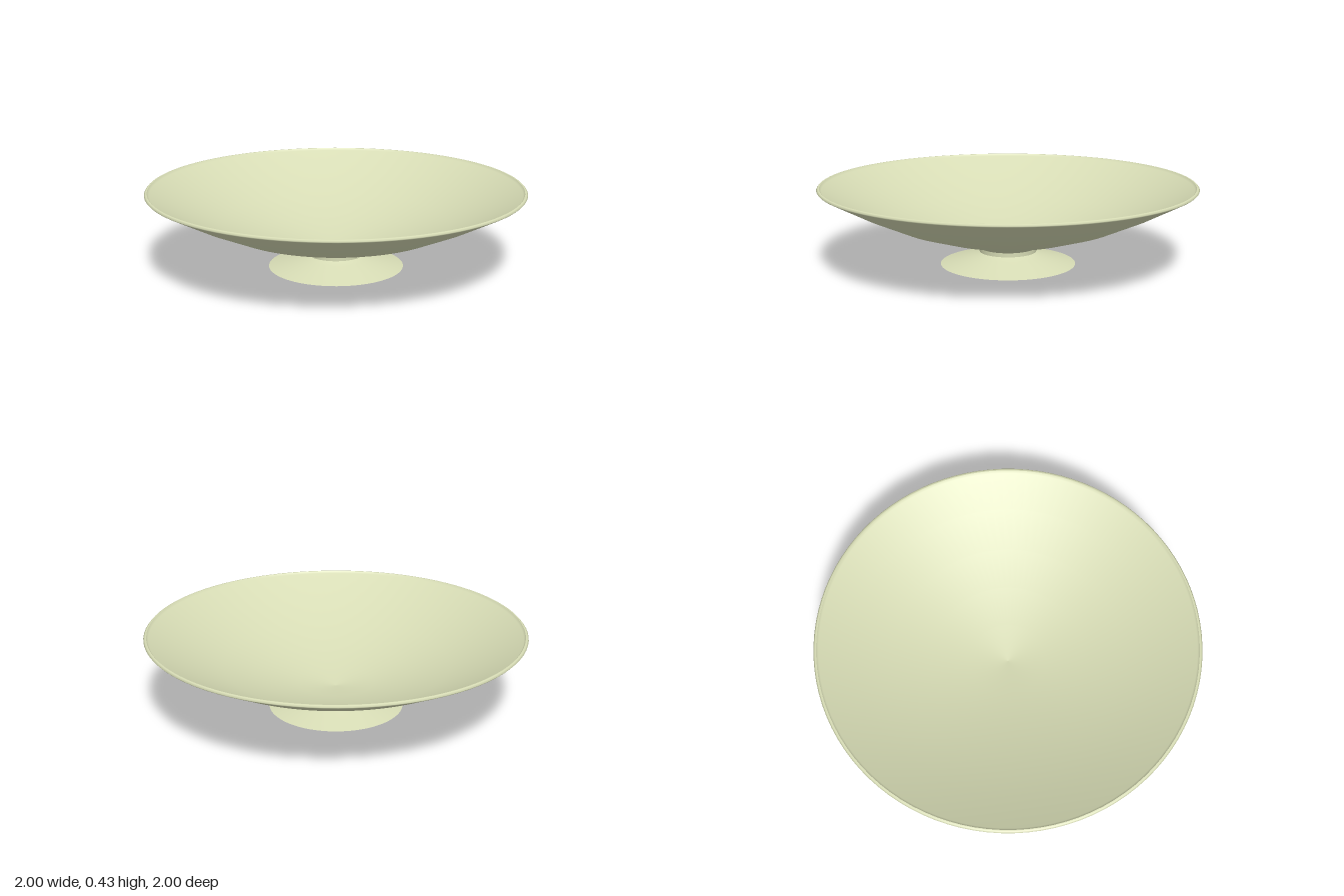
import * as THREE from 'three';

const SEGMENTS = 96;

export function createModel() {
  const dish = new THREE.Group();
  dish.name = 'footedDish';
  const glaze = new THREE.MeshStandardMaterial({ color: 0xd6dbb4, side: THREE.DoubleSide });

  // Each turned section is its own lathe, so edges between sections stay sharp
  const turn = (name, profile) => {
    const points = profile.map(([r, y]) => new THREE.Vector2(r, y));
    const mesh = new THREE.Mesh(new THREE.LatheGeometry(points, SEGMENTS), glaze);
    mesh.name = name;
    dish.add(mesh);
  };

  // Flared hollow foot and short neck
  turn('foot', [[0.36, 0], [0.185, 0.05], [0.152, 0.066]]);
  turn('neck', [[0.152, 0.066], [0.152, 0.088]]);

  // Closed underside of the bowl inside the neck
  turn('bowlBase', [[0, 0.088], [0.152, 0.088]]);

  // Shallow flared bowl: outside, rounded lip, inside
  turn('bowlOutside', [
    [0.152, 0.088], [0.2, 0.11], [0.4, 0.163], [0.6, 0.227], [0.8, 0.317], [0.995, 0.419],
  ]);
  turn('rim', [[0.995, 0.419], [1, 0.425], [0.993, 0.433], [0.985, 0.433]]);
  turn('bowlInside', [
    [0.985, 0.433], [0.975, 0.421], [0.8, 0.332], [0.6, 0.242], [0.4, 0.178], [0.2, 0.125], [0, 0.1],
  ]);

  return dish;
}
